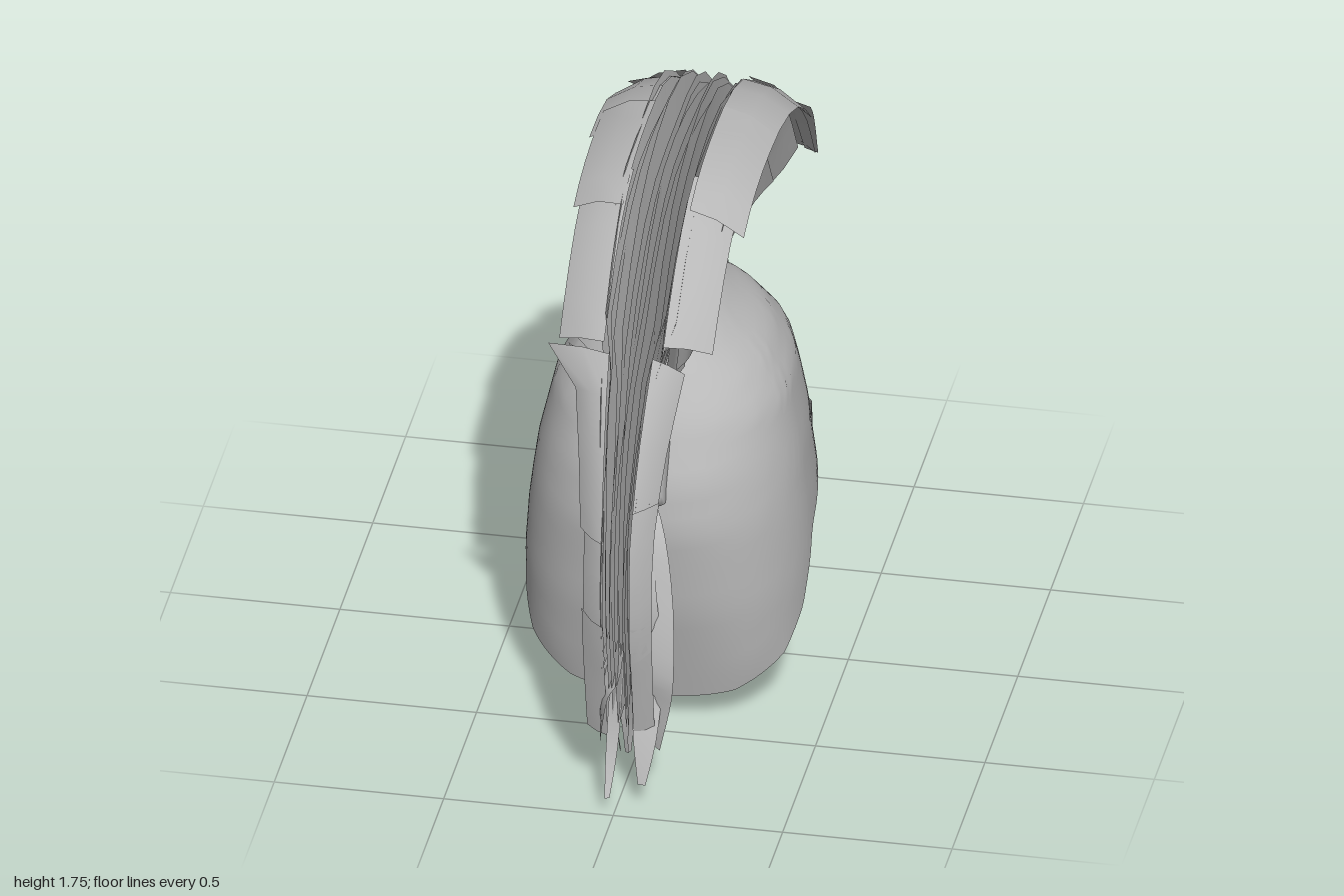
import * as THREE from 'three';

const grey = new THREE.MeshStandardMaterial({ color: 0xb8b8b8, side: THREE.DoubleSide });
grey.name = 'plain grey';

// small seeded random, -1..1
let seed = 7;
const rnd = () => {
  seed = (seed * 16807) % 2147483647;
  return (seed / 2147483647) * 2 - 1;
};
const lerp = THREE.MathUtils.lerp;

// piecewise linear lookup in [key, value] pairs with rising keys
function lookup(table, k) {
  if (k <= table[0][0]) return table[0][1];
  for (let i = 1; i < table.length; i++) {
    const [k0, v0] = table[i - 1], [k1, v1] = table[i];
    if (k <= k1) return v0 + (v1 - v0) * (k - k0) / (k1 - k0);
  }
  return table[table.length - 1][1];
}

// surface from a rule f(u, v) -> [x, y, z]
function grid(nu, nv, f) {
  const pos = [], idx = [];
  for (let j = 0; j <= nv; j++)
    for (let i = 0; i <= nu; i++) pos.push(...f(i / nu, j / nv));
  for (let j = 0; j < nv; j++)
    for (let i = 0; i < nu; i++) {
      const a = j * (nu + 1) + i, b = a + 1, c = a + nu + 1, d = c + 1;
      idx.push(a, c, b, b, c, d);
    }
  const g = new THREE.BufferGeometry();
  g.setAttribute('position', new THREE.Float32BufferAttribute(pos, 3));
  g.setIndex(idx);
  g.computeVertexNormals();
  return g;
}

// helmet sections by height: half width, back reach, front reach, centre, squareness
const WIDTH = [[0.1, 0.4], [0.22, 0.42], [0.45, 0.42], [0.6, 0.41], [0.8, 0.385], [1, 0.34], [1.1, 0.27], [1.17, 0.17], [1.25, 0.08], [1.27, 0]];
const BACK = [[0.1, 0.42], [0.42, 0.49], [0.7, 0.52], [0.85, 0.5], [1.02, 0.42], [1.16, 0.3], [1.25, 0.14], [1.27, 0]];
const FRONT = [[0.55, 0.61], [0.7, 0.58], [0.9, 0.54], [1, 0.49], [1.13, 0.36], [1.23, 0.2], [1.27, 0]];
const CENTRE = [[0.7, 0.12], [1.1, 0.06], [1.27, 0]];
const SQUARE = [[0.2, 0.6], [0.8, 0.9]];
// rim height by angle in degrees, 0 = nape, 180 = nose
const RIM = [[0, 0.1], [25, 0.13], [55, 0.22], [74, 0.33], [84, 0.45], [93, 0.54], [108, 0.58], [119, 0.64], [124, 0.72], [138, 0.67], [162, 0.7], [169, 0.66], [174, 0.56], [180, 0.55]];

function shell(deg, y) {
  const a = THREE.MathUtils.degToRad(deg), c = Math.cos(a), s = Math.max(0, Math.sin(a));
  const zc = lookup(CENTRE, y);
  const reach = c > 0 ? lookup(BACK, y) - zc : lookup(FRONT, y) + zc;
  return [lookup(WIDTH, y) * (c > 0 ? Math.pow(s, lookup(SQUARE, y)) : s), y, zc + reach * c];
}

// cheek guard edges by height: rear z, front z
const CHEEK_REAR = [[0.1, -0.49], [0.28, -0.38], [0.33, -0.31], [0.43, -0.23], [0.6, -0.21], [0.74, -0.25]];
const CHEEK_FRONT = [[0.1, -0.55], [0.3, -0.535], [0.47, -0.515], [0.53, -0.46], [0.66, -0.41]];

// crest base and crest top, matched point for point as [z, y]
const line = pts => new THREE.CatmullRomCurve3(pts.map(([z, y]) => new THREE.Vector3(0, y, z)));
const inner = line([[-0.5, 1.07], [-0.4, 1.19], [-0.25, 1.31], [0, 1.365], [0.25, 1.29], [0.42, 1.13], [0.53, 0.96], [0.65, 0.89], [0.76, 0.77], [0.8, 0.52], [0.75, 0.25]]);
const outer = line([[-0.96, 1.2], [-0.75, 1.46], [-0.4, 1.7], [0, 1.76], [0.35, 1.7], [0.68, 1.43], [0.86, 1.15], [0.94, 0.9], [0.95, 0.63], [0.91, 0.42], [0.87, 0.22]]);
// holder edges as [z, y]
const holderOut = line([[0.555, 0.81], [0.54, 0.91], [0.5, 1.0], [0.41, 1.15], [0.25, 1.29], [0.12, 1.35], [0, 1.37], [-0.12, 1.36], [-0.25, 1.31], [-0.38, 1.21], [-0.49, 1.07]]);
const holderIn = line([[0.485, 0.8], [0.465, 0.9], [0.42, 0.98], [0.34, 1.09], [0.2, 1.2], [0.1, 1.24], [0, 1.25], [-0.1, 1.24], [-0.2, 1.21], [-0.32, 1.14], [-0.43, 1.05]]);
// sideways spread along the crest, and the wall's half width from base to top
const FLARE = [[0, 0.95], [0.2, 1], [0.5, 0.95], [0.51, 0.65], [0.6, 0.5], [0.7, 0.42], [1, 0.4]];
const WALL = [[0, 0.04], [0.45, 0.1], [0.7, 0.16], [0.9, 0.19]];

function crestPoint(t, r, x) {
  const k = THREE.MathUtils.clamp(t, 0, 1);
  const p = inner.getPoint(k).lerp(outer.getPoint(k), r);
  return [x * lookup(FLARE, k), p.y, p.z];
}

export function createModel() {
  const model = new THREE.Group();
  const add = (name, geometry, parent = model) => {
    const m = new THREE.Mesh(geometry, grey);
    m.name = name;
    parent.add(m);
    return m;
  };
  const group = name => {
    const g = new THREE.Group();
    g.name = name;
    model.add(g);
    return g;
  };

  // bowl with neck guard and nose guard
  add('helmetBowl', grid(144, 28, (u, v) => {
    const d = (u * 2 - 1) * 180, rim = lookup(RIM, Math.abs(d));
    const p = shell(Math.abs(d), 1.27 - (1.27 - rim) * Math.pow(v, 1.6));
    return [Math.sign(d) * p[0], p[1], p[2]];
  }));

  // cheek guards: an outer and an inner face on the curve of the bowl
  for (const side of [1, -1]) {
    const cheek = group(side > 0 ? 'leftCheekGuard' : 'rightCheekGuard');
    for (const bulge of [0.012, -0.01])
      add('cheekPlate', grid(8, 22, (u, v) => {
        const y = lerp(0.1, lerp(0.73, 0.67, u), v);
        const z = lerp(lookup(CHEEK_REAR, y), lookup(CHEEK_FRONT, y), u);
        const c = Math.min(1, (0.12 - z) / 0.71);
        return [side * (0.4 * Math.sqrt(1 - c * c) + bulge * Math.sin(u * Math.PI)), y, z];
      }), cheek);
  }

  // rivets down the brow
  const rivets = group('rivets');
  for (const [y, z] of [[0.99, -0.515], [0.895, -0.54], [0.785, -0.565]])
    add('rivet', new THREE.SphereGeometry(0.024, 12, 8), rivets).position.set(0, y, z);

  // rounded holder for the crest, closed at both ends
  add('crestHolder', grid(40, 12, (u, v) => {
    const t = THREE.MathUtils.clamp((u * 40 - 1) / 38, 0, 1), end = u === 0 || u === 1;
    const a = v * Math.PI, h = end ? 0 : Math.pow(Math.sin(a), 0.6);
    const p = holderIn.getPoint(t).lerp(holderOut.getPoint(t), h);
    return [-0.06 * Math.cos(a), p.y, p.z];
  }));

  // crest sides, then overlapping wall and roof patches over them
  const crest = group('crest');
  const spans = [[0, 0.15], [0.11, 0.3], [0.26, 0.4], [0.36, 0.5], [0.51, 0.7], [0.66, 0.86], [0.8, 1]];
  for (const side of [1, -1]) {
    add('crestSide', grid(40, 4, (u, v) => crestPoint(u, v * 0.6, side * lookup(WALL, v * 0.6))), crest);
    for (const [t0, t1] of spans) {
      const grow = (side > 0 && t0 > 0.3 ? 0.85 : 1) + 0.07 * rnd();
      const lift = 0.03 * rnd(), skew = 0.015 * rnd(), low = 0.45 + 0.05 * rnd();
      add('crestWall', grid(5, 5, (u, v) => {
        const r = lerp(low, 0.9, v);
        return crestPoint(lerp(t0, t1, u) + skew * v, r, side * grow * (lookup(WALL, r) + 0.008));
      }), crest);
      add('crestRoof', grid(5, 2, (u, v) =>
        crestPoint(lerp(t0, t1, u) + skew * v, 1 + lift - 0.16 * v * v, side * grow * lerp(0.1, 0.26, v))), crest);
    }
    // pointed locks overhanging the front
    for (const x of [0.13, 0.17, 0.22]) {
      const start = 0.14 + 0.04 * rnd(), reach = 0.02 + 0.02 * rnd(), drop = 0.03 + 0.03 * rnd();
      add('frontLock', grid(6, 1, (u, v) => {
        const p = crestPoint(start * (1 - u), 0.93, side * x);
        const w = (v - 0.5) * 0.08 * (1 - 0.5 * u);
        return [p[0] + w, p[1] - drop * u * u - 0.3 * side * w, p[2] - reach * u];
      }), crest);
    }
  }

  // upright hair sheets filling the middle
  for (let i = 0; i < 16; i++) {
    const x = (i - 8) * 0.011, t0 = 0.01 + 0.02 * rnd(), t1 = 0.9 + 0.1 * rnd();
    const top = 0.97 + 0.05 * rnd(), wave = rnd() * 3;
    add('hairSheet', grid(22, 2, (u, v) => {
      const edge = top + 0.03 * Math.sin(u * 23 + wave);
      return crestPoint(t0 + (t1 - t0) * u, v * edge, x * (0.4 + v) + 0.012 * Math.sin(u * 9 + wave) * v);
    }), crest);
  }

  // loose strands trailing down the back: end point [x, y, z] and ribbon width
  const tail = group('tailStrands');
  const ends = [[-0.05, 0.03, 0.63, 0.06], [0.06, 0.1, 0.7, 0.1], [-0.02, 0.08, 0.99, 0.06], [0.07, 0.1, 0.93, 0.1],
    [0.1, 0.18, 0.85, 0.12], [-0.05, 0.25, 0.94, 0.12], [0.02, 0.16, 0.85, 0.08], [-0.06, 0.22, 0.78, 0.12], [0.09, 0.2, 0.78, 0.1], [0, 0.12, 0.79, 0.06]];
  ends.forEach(([x, y, z, width], i) => {
    const path = new THREE.CatmullRomCurve3([
      new THREE.Vector3(0.03 * rnd(), 0.88 + 0.03 * rnd(), 0.54),
      new THREE.Vector3(x * 0.4, 0.82 + 0.04 * rnd(), 0.69),
      new THREE.Vector3(x * 0.7, 0.65, 0.78 + 0.04 * rnd()),
      new THREE.Vector3(x * 0.9, 0.42, 0.8 + 0.06 * rnd()),
      new THREE.Vector3(x, y + 0.13, z * 0.6 + 0.32),
      new THREE.Vector3(x, y, z)]);
    add('strand', grid(16, 1, (u, v) => {
      const p = path.getPoint(u), w = (v - 0.5) * width * Math.sin(0.3 + 2.6 * u);
      const twist = i * 0.6 + u * 1.5;
      return [p.x + w * Math.cos(twist), p.y, p.z + w * Math.sin(twist)];
    }), tail);
  });

  return model;
}
